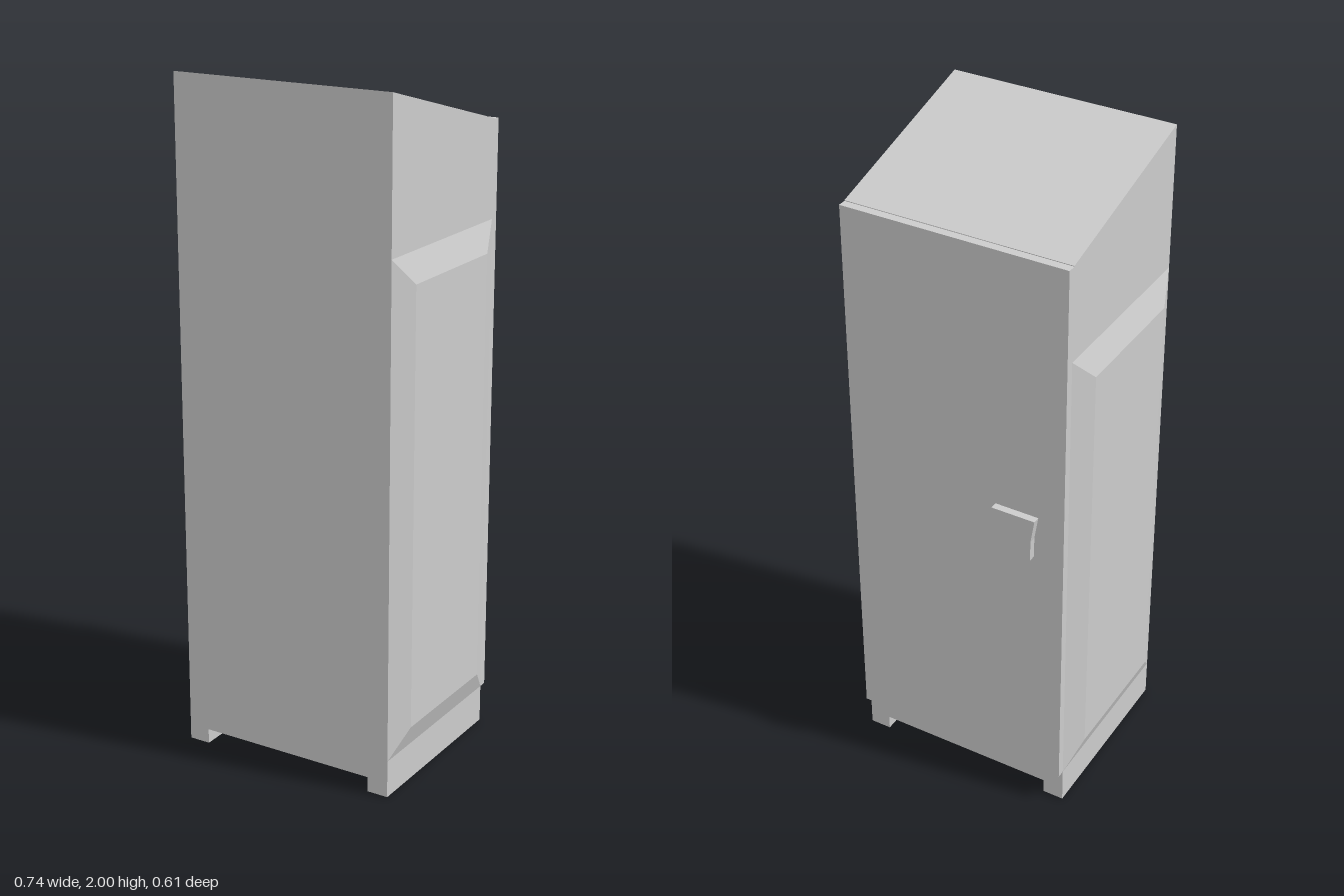
import * as THREE from 'three';

const material = new THREE.MeshStandardMaterial({ color: 0xcccccc, flatShading: true });
const HALF = 0.342, FRONT = 0.302, BACK = -0.258;

function addMesh(group, name, geometry) {
  const mesh = new THREE.Mesh(geometry, material);
  mesh.name = name;
  group.add(mesh);
  return mesh;
}

// Move every vertex by a rule, then rebuild flat normals
function reshape(geometry, rule) {
  const flat = geometry.index ? geometry.toNonIndexed() : geometry;
  const p = flat.attributes.position, v = new THREE.Vector3();
  for (let i = 0; i < p.count; i++) {
    rule(v.fromBufferAttribute(p, i));
    p.setXYZ(i, v.x, v.y, v.z);
  }
  flat.computeVertexNormals();
  return flat;
}

function extrude(points, depth) {
  const shape = new THREE.Shape(points.map(([x, y]) => new THREE.Vector2(x, y)));
  return new THREE.ExtrudeGeometry(shape, { depth, bevelEnabled: false });
}

export function createModel() {
  const group = new THREE.Group();
  group.name = 'cabinet';

  // Body: front outline with two foot rails, its top sloping down to the back
  const body = extrude([
    [-HALF, 0], [-0.277, 0], [-0.277, 0.045], [0.277, 0.045],
    [0.277, 0], [HALF, 0], [HALF, 2], [-HALF, 2],
  ], FRONT - BACK).translate(0, 0, BACK);
  addMesh(group, 'body', reshape(body, (v) => {
    if (v.y > 1.9 && v.z < 0) v.y = 1.852;
  }));

  // Raised side panels with bevelled borders
  const y0 = 0.113, y1 = 1.567, inset = 0.08, rise = 0.029;
  for (const side of [1, -1]) {
    const panel = new THREE.BoxGeometry(rise, y1 - y0, FRONT - BACK);
    const geometry = reshape(panel, (v) => {
      if (v.x * side > 0) {
        v.y -= Math.sign(v.y) * inset;
        v.z -= Math.sign(v.z) * inset;
      }
    });
    const mesh = addMesh(group, side > 0 ? 'leftPanel' : 'rightPanel', geometry);
    mesh.position.set(side * (HALF + rise / 2), (y0 + y1) / 2, (FRONT + BACK) / 2);
  }

  // Door slab on the back
  const door = addMesh(group, 'door', new THREE.BoxGeometry(2 * HALF, 1.737, 0.025));
  door.position.set(0, 0.9815, BACK - 0.0125);

  // Tapered handle plate
  const handle = addMesh(group, 'handle', extrude([
    [-0.055, 0.915], [0.055, 0.915], [0.056, 0.98],
    [0.0675, 1.053], [-0.0675, 1.053], [-0.056, 0.98],
  ], 0.022));
  handle.position.set(-0.1945, 0, -0.305);

  return group;
}
